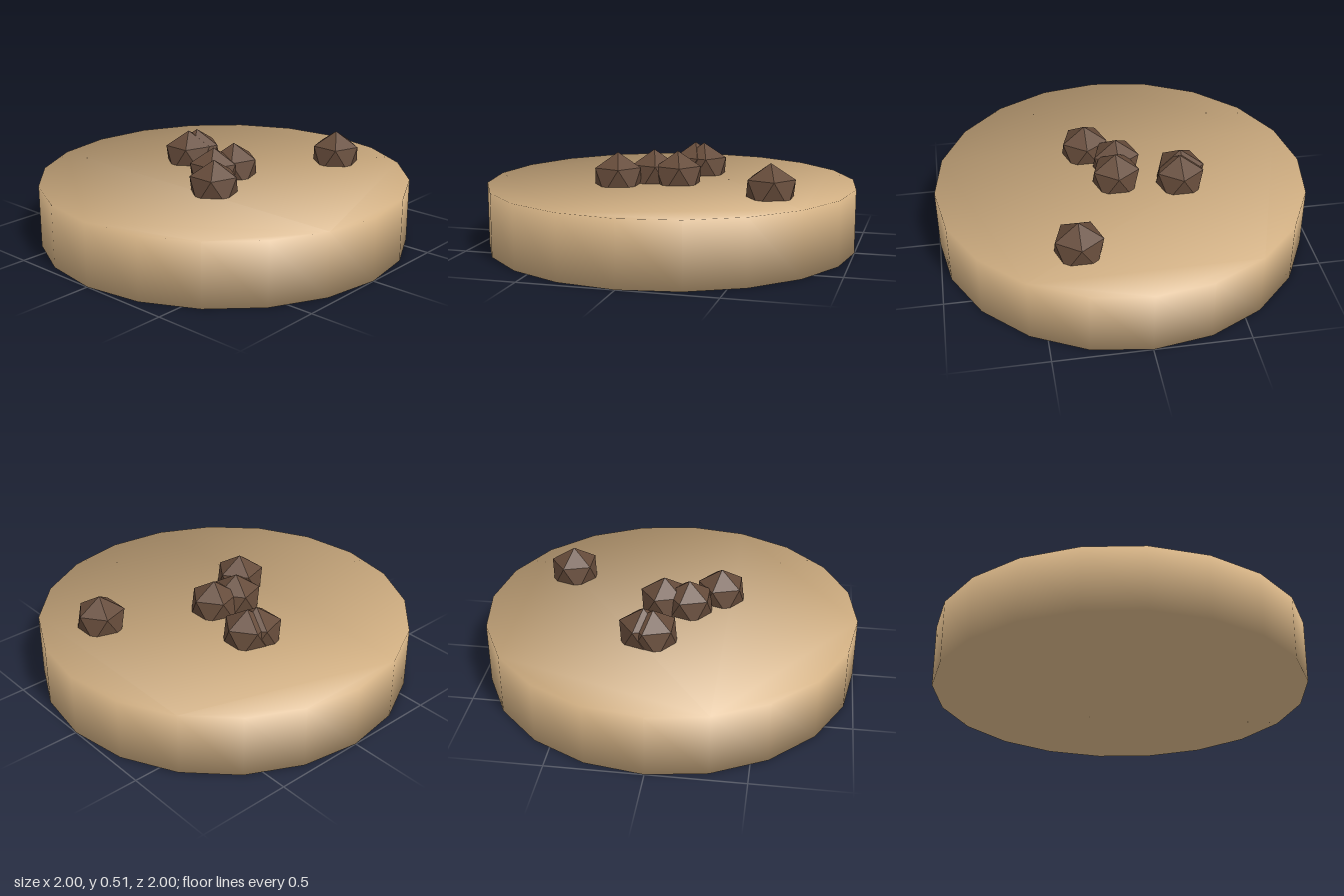
import * as THREE from 'three';
import { ConvexGeometry } from 'three/addons/geometries/ConvexGeometry.js';

const HEIGHT = 0.34;
const SIDES = 20;
const CHIP_RADIUS = 0.143;
const CHIP_Y = 0.37;

// Flat 20-sided disc whose normals are shared by the caps and the rim, for a soft look
function discGeometry() {
  const outline = [];
  for (let i = 0; i < SIDES; i++) {
    const a = (i / SIDES) * Math.PI * 2;
    outline.push(new THREE.Vector2(Math.cos(a), Math.sin(a)));
  }
  const geometry = new THREE.ExtrudeGeometry(new THREE.Shape(outline), {
    depth: HEIGHT,
    bevelEnabled: false,
  });
  geometry.rotateX(-Math.PI / 2);

  const pos = geometry.attributes.position;
  const n = new THREE.Vector3();
  for (let i = 0; i < pos.count; i++) {
    const up = pos.getY(i) > HEIGHT / 2 ? 0.91 : -0.91;
    n.set(pos.getX(i), up, pos.getZ(i)).normalize();
    geometry.attributes.normal.setXYZ(i, n.x, n.y, n.z);
  }
  return geometry;
}

// Icosahedron standing on a corner: two poles and two staggered rings of five
function chipGeometry() {
  const r = CHIP_RADIUS;
  const ringY = r / Math.sqrt(5);
  const ringR = 2 * ringY;
  const points = [new THREE.Vector3(0, r, 0), new THREE.Vector3(0, -r, 0)];
  for (let i = 0; i < 5; i++) {
    const a = (i / 5) * Math.PI * 2;
    const x = ringR * Math.cos(a);
    const z = ringR * Math.sin(a);
    points.push(new THREE.Vector3(x, ringY, z), new THREE.Vector3(-x, -ringY, -z));
  }
  return new ConvexGeometry(points);
}

export function createModel() {
  const model = new THREE.Group();
  model.name = 'cookie';

  const dough = new THREE.Mesh(
    discGeometry(),
    new THREE.MeshStandardMaterial({ color: 0xd2b083 })
  );
  dough.name = 'dough';
  model.add(dough);

  // Chips half sunk in the top, placed by [x, z]
  const geometry = chipGeometry();
  const material = new THREE.MeshStandardMaterial({ color: 0x654b3a, flatShading: true });
  const places = [
    [-0.255, 0.16],
    [-0.095, 0.01],
    [0.043, 0.032],
    [0.055, -0.318],
    [0.107, -0.304],
    [0.6, 0.306],
  ];
  places.forEach(([x, z], i) => {
    const chip = new THREE.Mesh(geometry, material);
    chip.name = `chip${i + 1}`;
    chip.position.set(x, CHIP_Y, z);
    model.add(chip);
  });

  return model;
}
